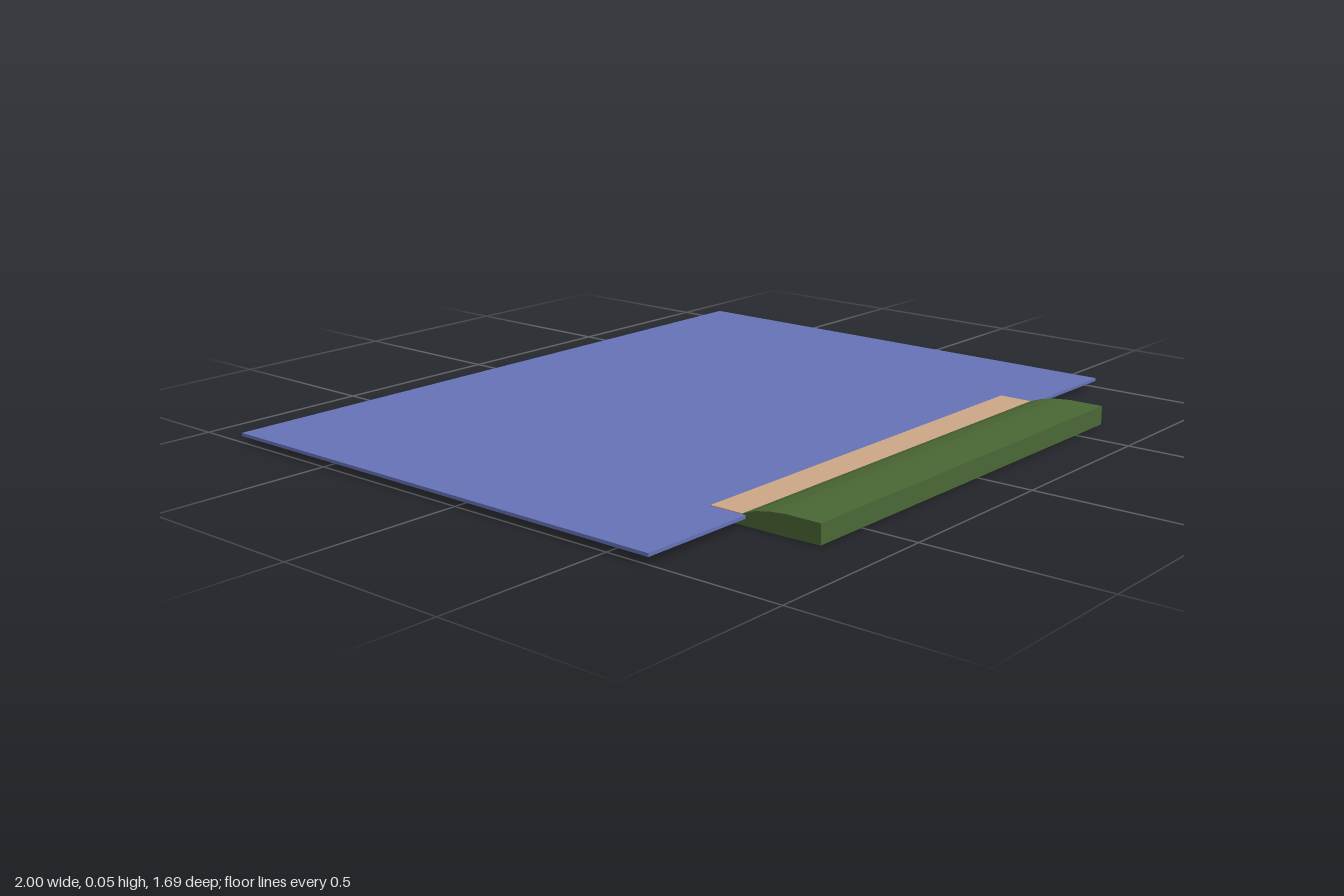
import * as THREE from 'three';

const mat = (name, color) => {
  const m = new THREE.MeshStandardMaterial({ color });
  m.name = name;
  return m;
};

// Box given by its lower and upper corners
function slab(name, min, max, material) {
  const size = max.map((v, i) => v - min[i]);
  const mesh = new THREE.Mesh(new THREE.BoxGeometry(...size), material);
  mesh.position.set(...min.map((v, i) => (v + max[i]) / 2));
  mesh.name = name;
  return mesh;
}

export function createModel() {
  const blue = mat('sheetBlue', 0x6874ba);
  const green = mat('clampGreen', 0x4c6935);
  const tan = mat('stripTan', 0xcfa987);
  const group = new THREE.Group();
  group.name = 'clampedSheet';

  // Thin flat sheet
  group.add(slab('sheet', [-1, 0.018, -0.845], [1, 0.027, 0.627], blue));

  // Tan strip lying on the sheet where the clamp meets it
  group.add(slab('strip', [-0.663, 0.026, 0.52], [0.638, 0.029, 0.618], tan));

  // Clamp bar: side profile (z, y) with a sloping upper jaw and thin lower lip
  const profile = [
    [0.845, 0.002], [0.845, 0.055], [0.745, 0.055], [0.7, 0.051], [0.655, 0.043],
    [0.612, 0.027], [0.62, 0.018], [0.585, 0.012], [0.555, 0.004], [0.57, 0],
    [0.75, 0],
  ];
  const shape = new THREE.Shape(profile.map(([z, y]) => new THREE.Vector2(z, y)));
  const width = 1.298;
  const geometry = new THREE.ExtrudeGeometry(shape, { depth: width, bevelEnabled: false });
  geometry.rotateY(-Math.PI / 2);
  geometry.translate(0.635, 0, 0);
  const clamp = new THREE.Mesh(geometry, green);
  clamp.name = 'clampBar';
  group.add(clamp);

  return group;
}
